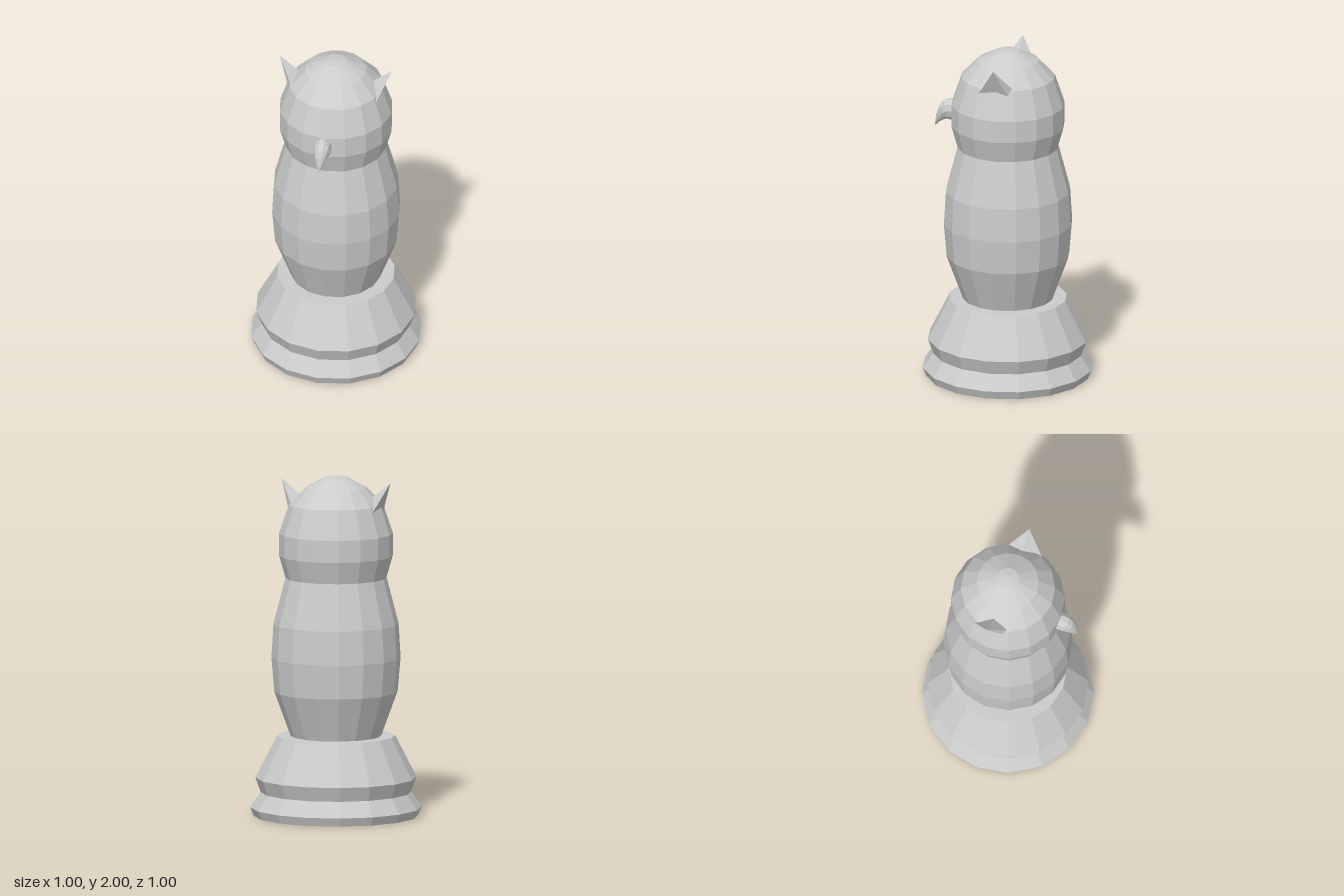
import * as THREE from 'three';

const material = new THREE.MeshStandardMaterial({
  color: 0xcccccc, flatShading: true, side: THREE.DoubleSide,
});

function addMesh(parent, name, geometry) {
  const mesh = new THREE.Mesh(geometry, material);
  mesh.name = name;
  parent.add(mesh);
  return mesh;
}

// Sixteen-sided turned shape from [radius, height] pairs
const turned = (profile) =>
  new THREE.LatheGeometry(profile.map(([r, y]) => new THREE.Vector2(r, y)), 16);

// Skin over rings of equal point count; outward when rings run anticlockwise seen from the end
function loft(rings) {
  const n = rings[0].length;
  const index = [];
  for (let i = 0; i < rings.length - 1; i++) {
    for (let j = 0; j < n; j++) {
      const a = i * n + j, b = i * n + (j + 1) % n;
      index.push(a, b, b + n, a, b + n, a + n);
    }
  }
  const geometry = new THREE.BufferGeometry();
  geometry.setAttribute('position', new THREE.Float32BufferAttribute(rings.flat(2), 3));
  geometry.setIndex(index);
  geometry.computeVertexNormals();
  return geometry;
}

export function createModel() {
  const owl = new THREE.Group();
  owl.name = 'owlChessPiece';

  // Hollow plinth, open underneath, with a flat ledge around the body
  addMesh(owl, 'base', turned([
    [0.48, 0], [0.5, 0.05], [0.44, 0.14], [0.47, 0.225], [0.345, 0.47], [0.265, 0.47],
  ]));

  // Body swelling at the middle
  addMesh(owl, 'body', turned([
    [0.265, 0.47], [0.36, 0.73], [0.377, 0.93], [0.365, 1.13], [0.295, 1.4],
  ]));

  // Domed head
  addMesh(owl, 'head', turned([
    [0.295, 1.4], [0.332, 1.53], [0.332, 1.66], [0.275, 1.83], [0.18, 1.93], [0.065, 1.99], [0, 2],
  ]));

  // Pointed ear tufts, slightly twisted; the second is the first turned half round
  const tip = [0.337, 1.97, 0];
  const earBase = [[0.262, 1.8, 0.108], [0.27, 1.8, -0.07], [0.24, 1.825, -0.103], [0.2, 1.86, 0]];
  const earGeometry = loft([earBase, earBase.map(() => tip)]);
  addMesh(owl, 'leftEar', earGeometry);
  addMesh(owl, 'rightEar', earGeometry).rotation.y = Math.PI;

  // Hooked beak: each section is top z, top y, bottom z, bottom y, half width
  const sections = [
    [0.31, 1.66, 0.31, 1.53, 0.052],
    [0.345, 1.662, 0.335, 1.53, 0.052],
    [0.38, 1.652, 0.35, 1.535, 0.05],
    [0.408, 1.622, 0.365, 1.537, 0.043],
    [0.425, 1.58, 0.385, 1.53, 0.032],
    [0.437, 1.53, 0.41, 1.515, 0.017],
    [0.44, 1.485, 0.44, 1.485, 0],
  ];
  const sides = 10;
  addMesh(owl, 'beak', loft(sections.map(([tz, ty, bz, by, w]) =>
    Array.from({ length: sides }, (_, j) => {
      const a = (j / sides) * Math.PI * 2;
      const t = (1 + Math.sin(a)) / 2;
      return [w * Math.cos(a), by + (ty - by) * t, bz + (tz - bz) * t];
    }))));

  return owl;
}
